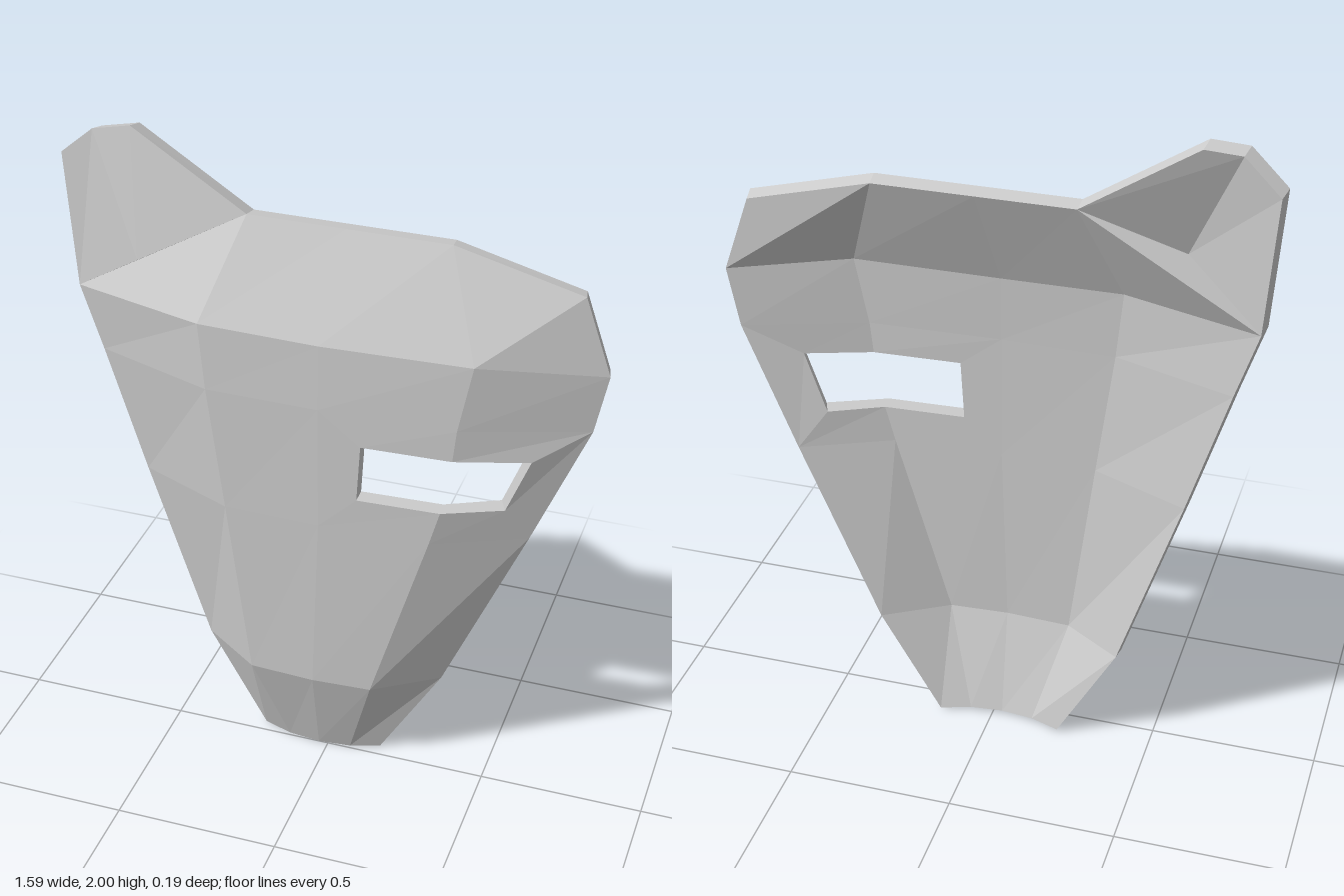
import * as THREE from 'three';

// Front sheet: rows from chin to brow, each with five points across (x, y, z)
const ROWS = [
  [[-0.22, 0, -0.04], [-0.13, 0, -0.01], [-0.03, 0, 0], [0.07, 0, -0.01], [0.16, 0, -0.04]],
  [[-0.40, 0.32, -0.04], [-0.22, 0.315, 0.08], [-0.02, 0.315, 0.09], [0.16, 0.315, 0.08], [0.35, 0.32, -0.04]],
  [[-0.585, 0.89, -0.04], [-0.29, 0.89, 0.085], [0, 0.89, 0.093], [0.33, 0.89, 0.08], [0.595, 0.89, -0.04]],
  [[-0.705, 1.28, -0.04], [-0.34, 1.28, 0.085], [0, 1.28, 0.092], [0.40, 1.28, 0.08], [0.755, 1.28, -0.04]],
  [[-0.77, 1.48, -0.04], [-0.36, 1.485, 0.08], [0, 1.48, 0.085], [0.44, 1.485, 0.075], [0.79, 1.46, -0.04]],
];
const CROWN = [[-0.25, 1.785, -0.04], [0.04, 1.785, -0.04], [0.34, 1.785, -0.04], [0.71, 1.69, -0.04]];
// Eye slot corners: bottom edge then top edge, inner to outer
const EYE = [
  [0.115, 1.0, 0.09], [0.36, 1.0, 0.08], [0.53, 1.0, 0.005],
  [0.125, 1.18, 0.09], [0.39, 1.18, 0.08], [0.60, 1.18, 0.015],
];
// Horn: ridge foot, then the outline of the tip from outer to inner
const HORN = [[-0.54, 1.645, 0.06], [-0.80, 1.89, -0.045], [-0.69, 1.985, -0.02], [-0.585, 2.0, -0.04]];

// Turns a faceted sheet into a solid shell, walling every open edge
function shell(points, faces, toBack) {
  const pos = [];
  const back = points.map(toBack);
  const poly = (...c) => {
    for (let i = 1; i < c.length - 1; i++) pos.push(...c[0], ...c[i], ...c[i + 1]);
  };
  const edges = new Set();
  for (const f of faces) f.forEach((a, i) => edges.add(`${a},${f[(i + 1) % f.length]}`));
  for (const f of faces) {
    poly(...f.map((i) => points[i]));
    poly(...f.map((i) => back[i]).reverse());
    f.forEach((a, i) => {
      const b = f[(i + 1) % f.length];
      if (!edges.has(`${b},${a}`)) poly(points[b], points[a], back[a], back[b]);
    });
  }
  const g = new THREE.BufferGeometry();
  g.setAttribute('position', new THREE.Float32BufferAttribute(pos, 3));
  g.computeVertexNormals();
  return g;
}

export function createModel() {
  const points = [...ROWS.flat(), ...CROWN, ...EYE, ...HORN];
  const at = (row, col) => row * 5 + col;
  const crown = 25, eye = 29, horn = 35;
  const faces = [];

  // Face panels, leaving out the two cells that surround the eye slot
  for (let r = 0; r < 4; r++) {
    for (let c = 0; c < 4; c++) {
      if (r === 2 && c >= 2) continue;
      faces.push([at(r, c), at(r, c + 1), at(r + 1, c + 1), at(r + 1, c)]);
    }
  }
  // Ring of panels around the eye slot
  for (let i = 0; i < 2; i++) {
    faces.push([at(2, 2 + i), at(2, 3 + i), eye + i + 1, eye + i]);
    faces.push([eye + 3 + i, eye + 4 + i, at(3, 3 + i), at(3, 2 + i)]);
  }
  faces.push([at(2, 2), eye, eye + 3, at(3, 2)]);
  faces.push([eye + 2, at(2, 4), at(3, 4), eye + 5]);

  // Sloping brow
  const corner = at(4, 0);
  faces.push([corner, at(4, 1), crown]);
  for (let i = 0; i < 3; i++) faces.push([at(4, i + 1), at(4, i + 2), crown + i + 1, crown + i]);

  // Folded horn with its underside
  faces.push([corner, crown, horn]);
  faces.push([corner, horn, horn + 2, horn + 1]);
  faces.push([horn, crown, horn + 3, horn + 2]);

  // Back sheet: set behind and drawn in slightly, more at the slot's outer end
  const toBack = ([x, y, z], i) => [
    x * 0.987 - (i === eye + 2 || i === eye + 5 ? 0.015 : 0),
    i >= eye && i < horn ? y : 0.9 + (y - 0.9) * 0.99,
    z - 0.05,
  ];

  const material = new THREE.MeshStandardMaterial({ color: 0xcccccc, flatShading: true });
  const mask = new THREE.Mesh(shell(points, faces, toBack), material);
  mask.name = 'maskShell';
  const group = new THREE.Group();
  group.name = 'brokenMask';
  group.add(mask);
  return group;
}
